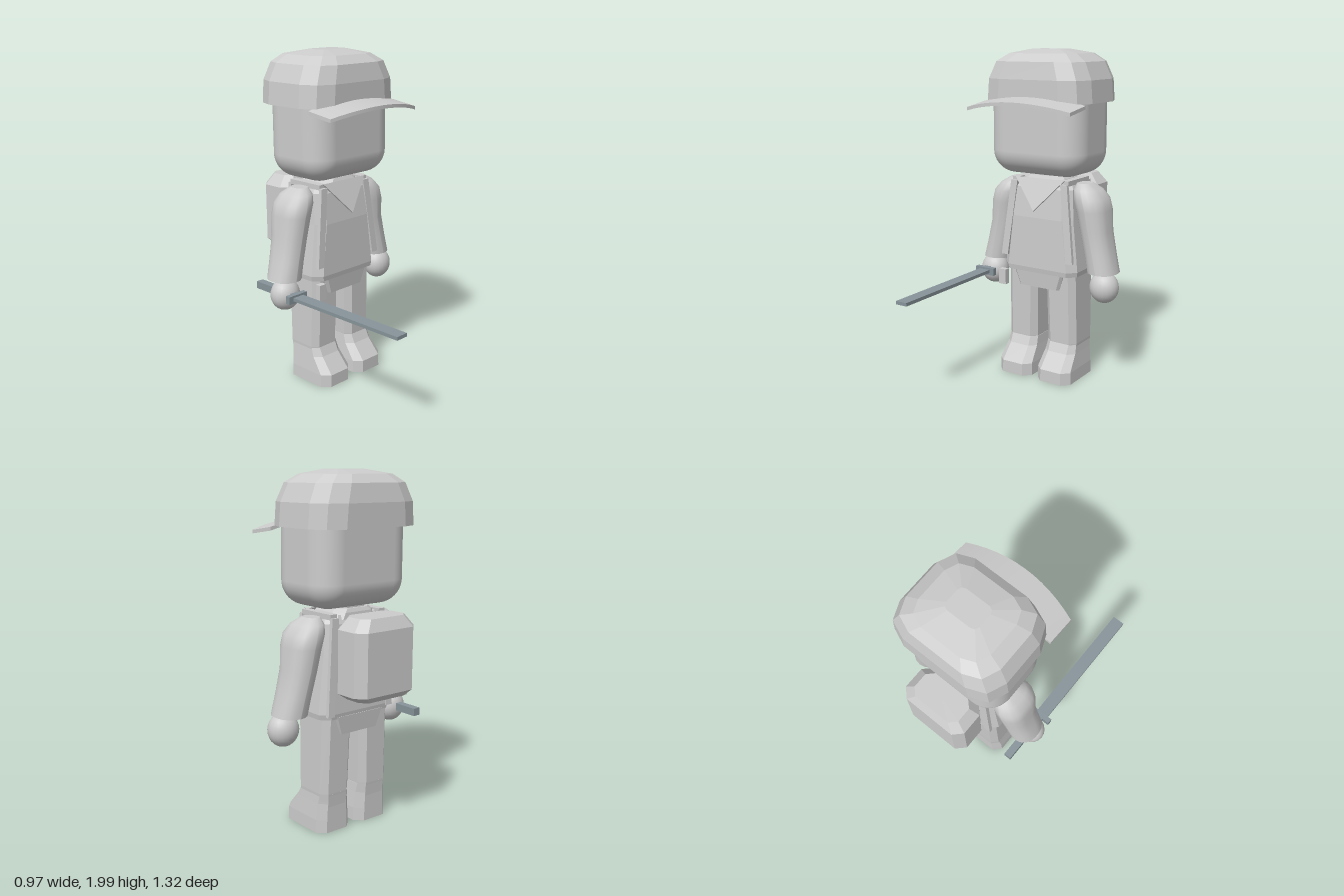
import * as THREE from 'three';
import { RoundedBoxGeometry } from 'three/addons/geometries/RoundedBoxGeometry.js';

const clay = new THREE.MeshStandardMaterial({ color: 0xcccccc });
clay.name = 'lightGrey';
const steel = new THREE.MeshStandardMaterial({ color: 0x87949a });
steel.name = 'steelGrey';

// Rounded rectangle in plan; ring = [y, cx, cz, hx, hz, corner]
function ringPoints([y, cx, cz, hx, hz, c], seg) {
  const pts = [];
  [[1, -1], [-1, -1], [-1, 1], [1, 1]].forEach(([sx, sz], q) => {
    for (let s = 0; s <= seg; s++) {
      const a = (q + s / seg) * Math.PI / 2;
      pts.push([cx + sx * (hx - c) + c * Math.cos(a), y, cz + sz * (hz - c) - c * Math.sin(a)]);
    }
  });
  return pts;
}

// Solid skinned over rings from bottom to top, faceted or smooth
function loft(rings, seg = 1, smooth = false) {
  const n = 4 * (seg + 1), pos = [], idx = [];
  const loops = rings.map((r) => ringPoints(r, seg));
  loops.forEach((l) => l.forEach((p) => pos.push(...p)));
  for (let i = 0; i < rings.length - 1; i++) {
    for (let j = 0; j < n; j++) {
      const k = (j + 1) % n, a = i * n + j, b = i * n + k;
      idx.push(a, b, b + n, a, b + n, a + n);
    }
  }
  [0, rings.length - 1].forEach((i) => {
    const base = pos.length / 3, r = rings[i];
    loops[i].forEach((p) => pos.push(...p));
    pos.push(r[1], r[0], r[2]);
    for (let j = 0; j < n; j++) {
      const a = base + j, b = base + (j + 1) % n;
      if (i) idx.push(a, b, base + n); else idx.push(b, a, base + n);
    }
  });
  let geo = new THREE.BufferGeometry();
  geo.setAttribute('position', new THREE.Float32BufferAttribute(pos, 3));
  geo.setIndex(idx);
  if (!smooth) geo = geo.toNonIndexed();
  geo.computeVertexNormals();
  return geo;
}

// Upright bar sheared between a top and a bottom point
function bar(top, bottom, w, d) {
  const geo = new THREE.BoxGeometry(w, 1, d), p = geo.attributes.position;
  for (let i = 0; i < p.count; i++) {
    const t = p.getY(i) + 0.5, m = (k) => bottom[k] + (top[k] - bottom[k]) * t;
    p.setXYZ(i, p.getX(i) + m(0), m(1), p.getZ(i) + m(2));
  }
  geo.computeVertexNormals();
  return geo;
}

export function createModel() {
  const model = new THREE.Group();
  const add = (name, geo, mat = clay, parent = model) => {
    const mesh = new THREE.Mesh(geo, mat);
    mesh.name = name;
    parent.add(mesh);
    return mesh;
  };
  const box = (name, x0, x1, y0, y1, z0, z1, mat, parent) =>
    add(name, new THREE.BoxGeometry(x1 - x0, y1 - y0, z1 - z0), mat, parent)
      .position.set((x0 + x1) / 2, (y0 + y1) / 2, (z0 + z1) / 2);

  // Head and cap
  add('head', new RoundedBoxGeometry(0.63, 0.66, 0.46, 6, 0.14)).position.set(0, 1.59, -0.26);
  add('cap', loft([
    [1.69, 0, -0.275, 0.345, 0.265, 0.14],
    [1.82, 0, -0.275, 0.335, 0.265, 0.14],
    [1.92, 0, -0.275, 0.29, 0.245, 0.13],
    [1.965, 0, -0.28, 0.22, 0.195, 0.1],
    [1.99, 0, -0.27, 0.1, 0.07, 0.03],
  ], 2));

  // Curved brim, drooping to the sides and forward
  const brim = new THREE.BoxGeometry(0.69, 0.02, 1, 12, 1, 1), bp = brim.attributes.position;
  for (let i = 0; i < bp.count; i++) {
    const t = (bp.getX(i) / 0.345) ** 2, f = bp.getZ(i) + 0.5;
    bp.setY(i, bp.getY(i) + 1.72 - 0.045 * t - f * 0.025);
    bp.setZ(i, -0.07 + f * (0.23 - 0.06 * t));
  }
  brim.computeVertexNormals();
  add('brim', brim);

  // Neck, collar and neckerchief
  add('neck', loft([[1.15, 0, -0.275, 0.11, 0.1, 0.05], [1.3, 0, -0.275, 0.11, 0.1, 0.05]]));
  add('collar', loft([
    [1.2, 0, -0.275, 0.16, 0.13, 0.05],
    [1.235, 0, -0.275, 0.14, 0.125, 0.05],
    [1.255, 0, -0.275, 0.12, 0.115, 0.05],
  ]));
  const tri = new THREE.Shape([
    new THREE.Vector2(-0.17, 0), new THREE.Vector2(0, -0.2), new THREE.Vector2(0.17, 0),
  ]);
  const scarf = add('neckerchief', new THREE.ExtrudeGeometry(tri, { depth: 0.009, bevelEnabled: false }));
  scarf.position.set(0, 1.235, -0.152);
  scarf.rotation.x = -0.36;

  // Torso and hips
  add('torso', loft([
    [0.66, 0, -0.27, 0.25, 0.15, 0.05],
    [0.69, 0, -0.27, 0.255, 0.155, 0.05],
    [1.0, 0, -0.27, 0.22, 0.15, 0.05],
    [1.18, 0, -0.275, 0.205, 0.135, 0.05],
    [1.225, 0, -0.275, 0.18, 0.11, 0.05],
  ]));
  add('hips', loft([
    [0.565, 0, -0.275, 0.14, 0.14, 0.015],
    [0.67, 0, -0.275, 0.175, 0.15, 0.015],
  ]));
  box('hipPouch', -0.26, -0.21, 0.56, 0.655, -0.125, -0.09);

  // Backpack
  add('backpack', loft([
    [0.79, 0, -0.545, 0.16, 0.085, 0.04],
    [0.825, 0, -0.545, 0.21, 0.115, 0.05],
    [1.17, 0, -0.545, 0.21, 0.115, 0.05],
    [1.235, 0, -0.545, 0.155, 0.085, 0.04],
  ]));

  // Paired parts
  for (const s of [1, -1]) {
    const side = new THREE.Group();
    side.name = s > 0 ? 'leftSide' : 'rightSide';
    model.add(side);
    const put = (name, geo) => add(name, geo, clay, side);

    put('frontStrap', bar([s * 0.172, 1.215, -0.143], [s * 0.228, 0.75, -0.118], 0.045, 0.022));
    put('backStrap', bar([s * 0.172, 1.215, -0.405], [s * 0.21, 0.68, -0.422], 0.045, 0.022));
    box('shoulderStrap', s * 0.172 - 0.0225, s * 0.172 + 0.0225, 1.205, 1.235, -0.4, -0.15, clay, side);

    put('arm', loft([
      [0.69, s * 0.375, -0.27, 0.09, 0.105, 0.088],
      [0.8, s * 0.35, -0.275, 0.085, 0.107, 0.083],
      [0.94, s * 0.318, -0.28, 0.085, 0.112, 0.083],
      [1.06, s * 0.302, -0.28, 0.092, 0.125, 0.09],
      [1.13, s * 0.282, -0.28, 0.094, 0.123, 0.09],
      [1.18, s * 0.257, -0.28, 0.075, 0.1, 0.07],
      [1.215, s * 0.235, -0.28, 0.04, 0.055, 0.035],
    ], 4, true));
    const hand = put('hand', new THREE.SphereGeometry(1, 20, 14));
    hand.scale.set(0.09, 0.095, 0.082);
    hand.position.set(s * 0.395, 0.605, -0.243);

    put('leg', loft([
      [0.15, s * 0.14, -0.28, 0.095, 0.115, 0.035],
      [0.23, s * 0.14, -0.28, 0.1, 0.12, 0.035],
      [0.66, s * 0.132, -0.28, 0.102, 0.132, 0.035],
    ]));
    put('boot', loft([
      [0, s * 0.138, -0.225, 0.117, 0.17, 0.045],
      [0.075, s * 0.138, -0.225, 0.115, 0.17, 0.045],
      [0.17, s * 0.138, -0.265, 0.105, 0.13, 0.04],
      [0.225, s * 0.138, -0.28, 0.1, 0.12, 0.035],
    ]));
  }

  // Sword held in the right hand
  const sword = new THREE.Group();
  sword.name = 'sword';
  model.add(sword);
  box('blade', -0.435, -0.36, 0.6, 0.62, -0.126, 0.662, steel, sword);
  box('guard', -0.465, -0.33, 0.585, 0.632, -0.157, -0.126, steel, sword);
  box('grip', -0.42, -0.375, 0.588, 0.632, -0.47, -0.15, steel, sword);

  return model;
}
